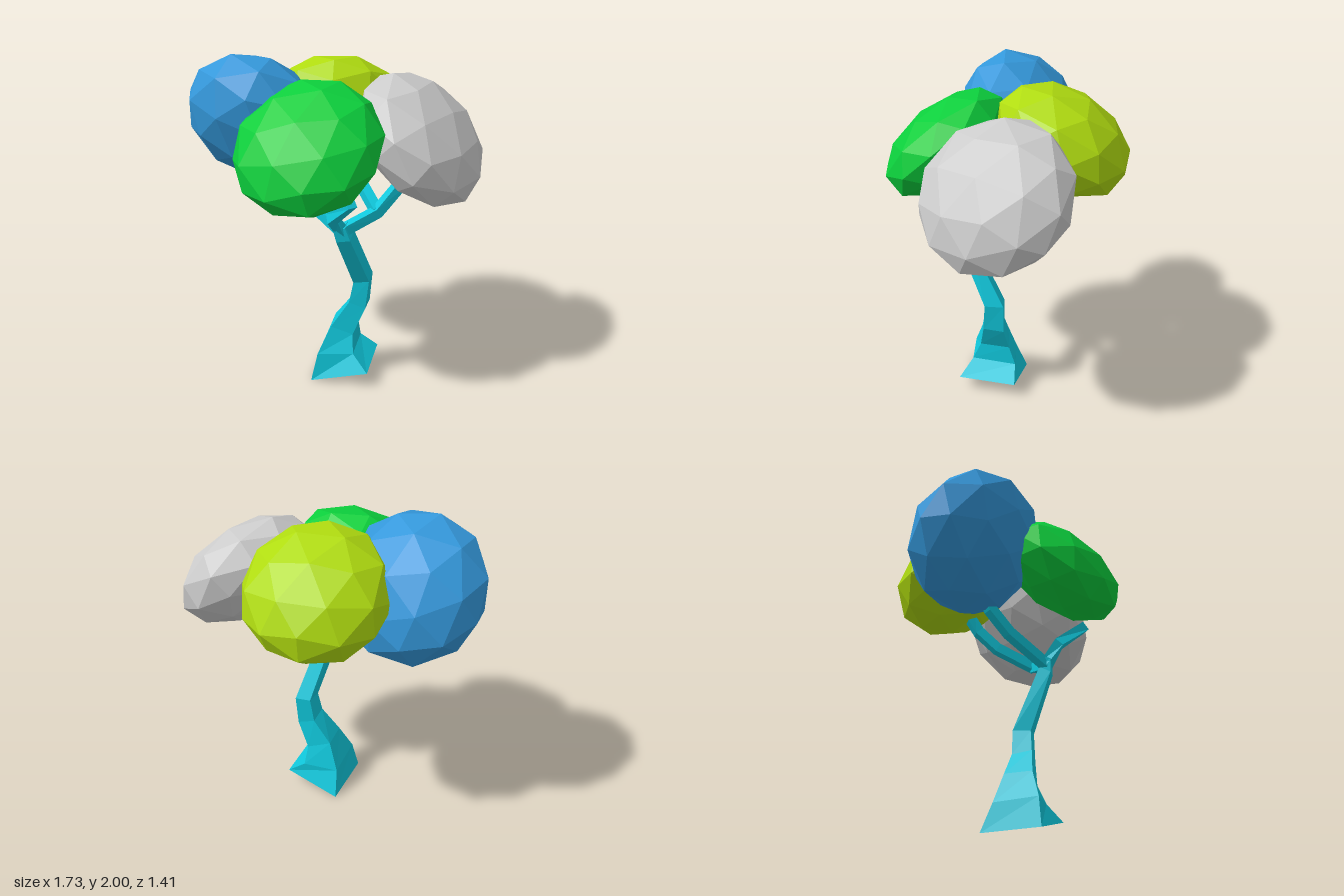
import * as THREE from 'three';

const V = (x, y, z) => new THREE.Vector3(x, y, z);
const material = (color) => new THREE.MeshStandardMaterial({ color, flatShading: true, roughness: 0.8 });

// Skin a stack of four-cornered rings (counter-clockwise seen from the tip) and close both ends
function loft(rings) {
  const pos = [];
  const quad = (a, b, c, d) => [a, b, c, a, c, d].forEach((p) => pos.push(p.x, p.y, p.z));
  for (let k = 0; k < rings.length - 1; k++) {
    for (let i = 0; i < 4; i++) {
      const j = (i + 1) % 4;
      quad(rings[k][i], rings[k][j], rings[k + 1][j], rings[k + 1][i]);
    }
  }
  quad(...[...rings[0]].reverse());
  quad(...rings[rings.length - 1]);
  const geometry = new THREE.BufferGeometry();
  geometry.setAttribute('position', new THREE.Float32BufferAttribute(pos, 3));
  geometry.computeVertexNormals();
  return geometry;
}

// Square rings along a bent path
function limbRings(points, radius) {
  return points.map((p, k) => {
    const before = points[Math.max(k - 1, 0)];
    const after = points[Math.min(k + 1, points.length - 1)];
    const t = after.clone().sub(before).normalize();
    const u = V(0, 1, 0).cross(t).normalize();
    const v = t.clone().cross(u);
    return [0, 1, 2, 3].map((i) => {
      const a = Math.PI / 4 + (i * Math.PI) / 2;
      return p.clone().addScaledVector(u, radius * Math.cos(a)).addScaledVector(v, radius * Math.sin(a));
    });
  });
}

export function createModel() {
  const tree = new THREE.Group();
  tree.name = 'tree';
  const bark = material(0x10c8dc);
  const add = (name, geometry, mat) => {
    const mesh = new THREE.Mesh(geometry, mat);
    mesh.name = name;
    tree.add(mesh);
    return mesh;
  };

  // Trunk: flared, tilted foot, then a bend towards the front
  // Corners run front left, front right, back right, back left as seen from the front
  const trunk = [
    [V(-0.12, 0, 0.22), V(0.23, 0.1, 0.28), V(0.29, 0.1, -0.07), V(-0.05, 0, -0.14)],
    [V(-0.08, 0.18, 0.2), V(0.14, 0.19, 0.2), V(0.18, 0.18, -0.07), V(-0.04, 0.17, -0.07)],
    [V(0, 0.35, 0.15), V(0.135, 0.3, 0.15), V(0.165, 0.3, -0.03), V(0.02, 0.35, -0.02)],
    [V(0.11, 0.51, 0.125), V(0.21, 0.47, 0.125), V(0.235, 0.47, 0), V(0.13, 0.5, 0)],
    [V(0.135, 0.64, 0.115), V(0.23, 0.65, 0.115), V(0.25, 0.66, 0), V(0.155, 0.66, 0)],
    [V(0.04, 0.97, 0.26), V(0.12, 0.98, 0.26), V(0.14, 1.02, 0.19), V(0.06, 1.02, 0.19)],
    [V(0.02, 1.05, 0.265), V(0.09, 1.06, 0.265), V(0.1, 1.08, 0.205), V(0.03, 1.08, 0.205)],
  ];
  add('trunk', loft(trunk), bark);

  // Branches, each running into one of the crowns
  const fork = V(0.07, 1.03, 0.23);
  const bend = V(0.27, 1.11, 0.12);
  const branches = {
    rightBranch: [fork, bend, V(0.43, 1.3, 0.06), V(0.46, 1.38, 0.05)],
    leftBranch: [fork, V(-0.15, 1.16, 0.05), V(-0.24, 1.28, -0.04), V(-0.28, 1.36, -0.07)],
    frontBranch: [fork, V(0.02, 1.14, 0.32), V(0.13, 1.29, 0.46)],
    backBranch: [bend, V(0.16, 1.22, -0.1), V(0.11, 1.33, -0.21), V(0.08, 1.42, -0.26)],
  };
  for (const [name, path] of Object.entries(branches)) add(name, loft(limbRings(path, 0.042)), bark);

  // Crowns: faceted balls flattened along an axis
  const crowns = [
    ['leftCrown', 0x3498db, V(-0.455, 1.61, -0.08), V(0.34, 0.56, -0.75), 0.43, 0.31],
    ['rightCrown', 0xcccccc, V(0.515, 1.535, 0.025), V(0.64, 0.68, 0.34), 0.44, 0.25],
    ['frontCrown', 0x0ccf3c, V(-0.11, 1.565, 0.355), V(-0.2, 0.74, 0.64), 0.425, 0.235],
    ['backCrown', 0xb0dc10, V(0.005, 1.65, -0.325), V(0, 0.86, -0.5), 0.415, 0.27],
  ];
  for (const [name, color, centre, axis, wide, thin] of crowns) {
    const crown = add(name, new THREE.IcosahedronGeometry(1, 1), material(color));
    crown.position.copy(centre);
    crown.quaternion.setFromUnitVectors(V(0, 1, 0), axis.normalize());
    crown.scale.set(wide, thin, wide);
  }
  return tree;
}
